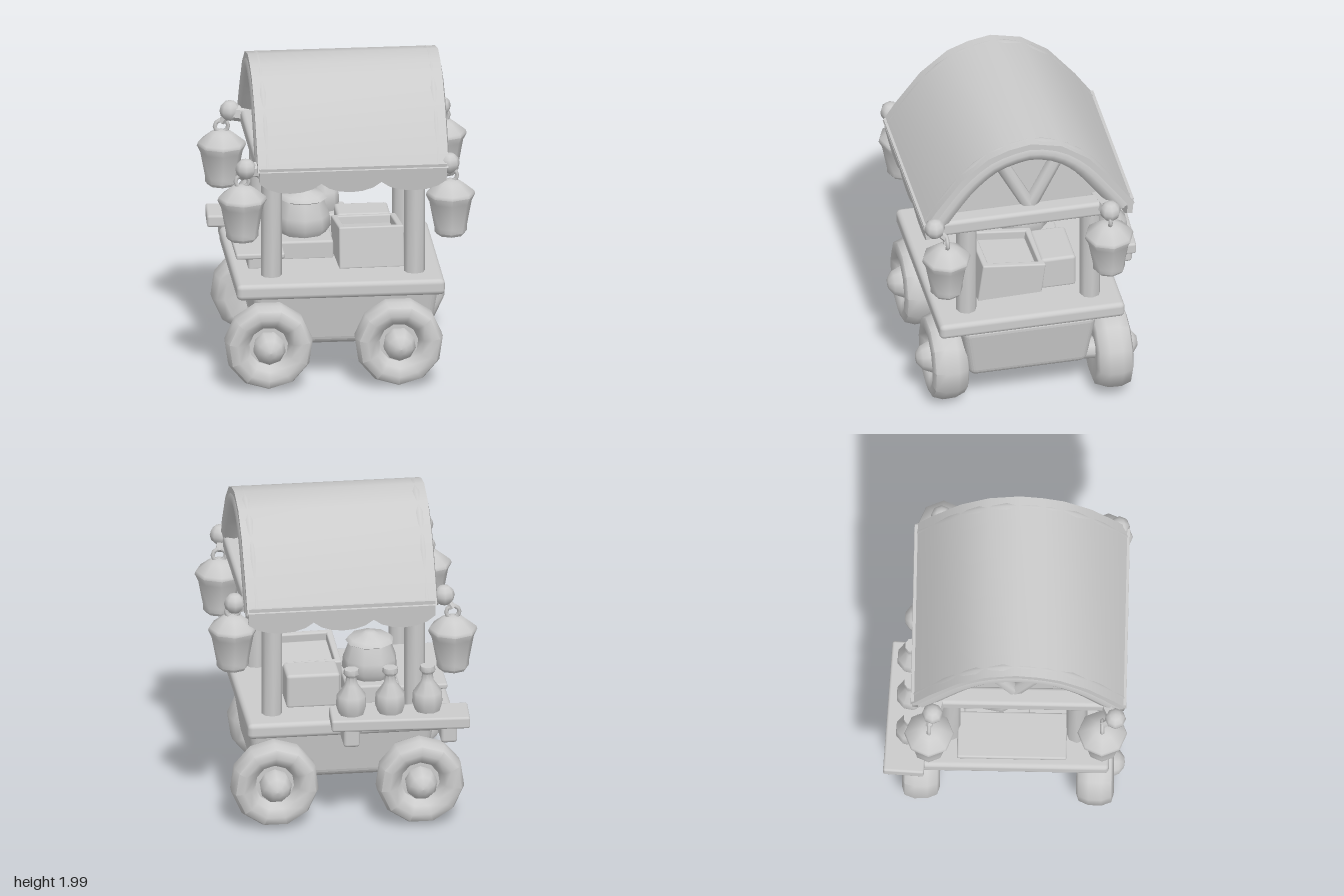
import * as THREE from 'three';
import { toCreasedNormals } from 'three/addons/utils/BufferGeometryUtils.js';
import { RoundedBoxGeometry } from 'three/addons/geometries/RoundedBoxGeometry.js';

const mat = new THREE.MeshStandardMaterial({ color: 0xcccccc, side: THREE.DoubleSide });
const V = (x, y, z) => new THREE.Vector3(x, y, z);

export function createModel() {
  const root = new THREE.Group();
  root.name = 'marketCart';

  const add = (name, geo, x = 0, y = 0, z = 0, parent = root) => {
    const m = new THREE.Mesh(geo, mat);
    m.name = name;
    m.position.set(x, y, z);
    parent.add(m);
    return m;
  };
  const crease = geo => toCreasedNormals(geo, 0.95);
  // Softened box given by its minimum and maximum corners
  const box = (name, a, b, r = 0.02, parent = root) => add(name,
    new RoundedBoxGeometry(b[0] - a[0], b[1] - a[1], b[2] - a[2], 2, r),
    (a[0] + b[0]) / 2, (a[1] + b[1]) / 2, (a[2] + b[2]) / 2, parent);
  const lathe = (pts, n) => crease(new THREE.LatheGeometry(pts.map(p => new THREE.Vector2(...p)), n));
  // Round bar between two points
  const bar = (name, a, b, r, n = 8, parent = root) => {
    const d = b.clone().sub(a);
    const m = add(name, crease(new THREE.CylinderGeometry(r, r, d.length(), n)), 0, 0, 0, parent);
    m.position.copy(a).add(b).multiplyScalar(0.5);
    m.quaternion.setFromUnitVectors(V(0, 1, 0), d.normalize());
    return m;
  };

  // Deck and tapered wagon body
  box('deck', [-0.68, 0.59, -0.53], [0.6, 0.69, 0.63], 0.03);
  const body = new RoundedBoxGeometry(1.16, 0.38, 0.85, 3, 0.05);
  const bp = body.attributes.position;
  for (let i = 0; i < bp.count; i++) {
    const t = 0.5 - bp.getY(i) / 0.38;
    bp.setX(i, bp.getX(i) * (1 - 0.1 * t));
    bp.setZ(i, bp.getZ(i) * (1 - 0.14 * t));
  }
  body.computeVertexNormals();
  add('wagonBody', body, 0, 0.42, 0.06);

  // Wheels: fat tyre, sunken disc and rounded hub
  const tyre = lathe([[0, -0.09], [0.1, -0.09], [0.2, -0.115], [0.245, -0.1], [0.27, -0.04], [0.272, 0.04],
    [0.25, 0.1], [0.2, 0.115], [0.15, 0.09], [0.12, 0.03], [0, 0.03]], 11);
  const hub = new THREE.LatheGeometry([[0.095, 0.02], [0.1, 0.09], [0.075, 0.145], [0.035, 0.175], [0, 0.18]]
    .map(p => new THREE.Vector2(...p)), 9);
  for (const [x, z, s] of [[-0.48, 0.545, 1], [0.32, 0.545, 1], [-0.46, -0.52, -1], [0.43, -0.46, -1]]) {
    const w = new THREE.Group();
    w.name = 'wheel';
    w.position.set(x, 0.278, z);
    w.rotation.x = s * Math.PI / 2;
    root.add(w);
    add('tyre', tyre, 0, 0, 0, w);
    add('hub', hub, 0, 0, 0, w);
  }
  bar('rightAxle', V(-0.47, 0.26, 0.5), V(-0.46, 0.26, -0.5), 0.07);
  bar('leftAxle', V(0.33, 0.26, 0.5), V(0.42, 0.26, -0.45), 0.07);

  // Corner posts
  for (const x of [-0.45, 0.43])
    for (const z of [-0.345, 0.43])
      bar('post', V(x, 0.66, z), V(x, 1.46, z), 0.064, 8);

  // Curved roof sheet with a flat ceiling
  const arc = [[0.735, 1.45], [0.66, 1.57], [0.5, 1.78], [0.33, 1.92], [0.2, 1.97], [0.06, 1.995],
    [-0.13, 1.95], [-0.3, 1.83], [-0.47, 1.62], [-0.585, 1.45]];
  const inset = d => arc.map(([z, y]) => {
    const dz = z - 0.07, dy = y - 1.3, l = Math.hypot(dz, dy);
    return [z - dz / l * d, y - dy / l * d];
  });
  // Extrudes a (z, y) outline along x, centred on x
  const extrudeX = (pts, depth, x) => {
    const g = new THREE.ExtrudeGeometry(new THREE.Shape(pts.map(p => new THREE.Vector2(...p))),
      { depth, bevelEnabled: false });
    return crease(g.translate(0, 0, -depth / 2).rotateY(-Math.PI / 2).translate(x, 0, 0));
  };
  add('roof', extrudeX([...arc, ...inset(0.06).reverse()], 1.17, 0.025));
  box('ceiling', [-0.5, 1.41, -0.54], [0.55, 1.44, 0.68], 0.01);

  // Gables: rounded rim, recessed panel, struts and tie beam
  for (const [x, s] of [[-0.5, -1], [0.55, 1]]) {
    const rim = new THREE.CatmullRomCurve3(inset(0.072).map(([z, y]) => V(x, y, z)));
    add('gableRim', new THREE.TubeGeometry(rim, 20, 0.072, 8));
    add('gablePanel', extrudeX(inset(0.05), 0.03, x - s * 0.08));
    box('tieBeam', [x - 0.06, 1.38, -0.5], [x + 0.06, 1.48, 0.66], 0.025);
    for (const [z, y] of [[0.24, 1.82], [-0.13, 1.82]])
      bar('gableStrut', V(x - s * 0.05, 1.46, 0.05), V(x - s * 0.05, y, z), 0.045, 7);
  }

  // Scalloped valances along both eaves, leaning slightly inwards
  const scallops = new THREE.Shape();
  scallops.moveTo(0.6, 0.03);
  scallops.lineTo(-0.55, 0.03);
  scallops.lineTo(-0.55, -0.07);
  let start = -0.55;
  for (const end of [-0.17, 0.2, 0.6]) {
    scallops.bezierCurveTo(start + 0.08, -0.165, end - 0.08, -0.165, end, -0.08);
    start = end;
  }
  scallops.closePath();
  const valance = crease(new THREE.ExtrudeGeometry(scallops, { depth: 0.035, bevelEnabled: false, curveSegments: 6 }));
  add('frontValance', valance, 0, 1.45, 0.695).rotation.x = 0.15;
  add('backValance', valance, 0, 1.45, -0.58).rotation.x = -0.08;

  // Hanging lanterns with hooks and bracket knobs
  const lanternGeo = lathe([[0, -0.33], [0.085, -0.33], [0.1, -0.31], [0.1, -0.28], [0.13, -0.12],
    [0.152, -0.075], [0.145, -0.055], [0.075, 0], [0.045, 0.015], [0, 0.02]], 8);
  const ring = new THREE.TorusGeometry(0.04, 0.014, 5, 10);
  const knob = new THREE.SphereGeometry(0.065, 8, 6);
  for (const [x, y, z, kx, kz] of [[-0.645, 1.31, 0.59, -0.63, 0.67], [0.635, 1.31, 0.6, 0.62, 0.67],
    [-0.67, 1.31, -0.47, -0.62, -0.45], [0.68, 1.36, -0.41, 0.67, -0.42]]) {
    const l = new THREE.Group();
    l.name = 'lantern';
    root.add(l);
    add('lanternBody', lanternGeo, x, y, z, l);
    add('lanternRing', ring, x, y + 0.045, z, l);
    bar('hook', V(x, y + 0.07, z), V(kx, 1.46, kz), 0.022, 6, l);
    add('bracketKnob', knob, kx, 1.46, kz, l);
    bar('bracketArm', V(kx, 1.45, kz), V(Math.sign(x) * 0.48, 1.44, kz * 0.9), 0.05, 6, l);
  }

  // Back shelf with brackets and bottles
  box('backShelf', [-0.75, 0.69, -0.73], [0.1, 0.765, -0.48], 0.015).rotation.y = -0.05;
  for (const x of [-0.62, -0.02]) box('shelfBracket', [x - 0.05, 0.58, -0.7], [x + 0.05, 0.71, -0.5], 0.02);
  const bottle = lathe([[0, 0], [0.075, 0], [0.095, 0.06], [0.09, 0.13], [0.04, 0.2], [0.032, 0.25],
    [0.05, 0.27], [0.045, 0.3], [0, 0.3]], 9);
  for (const x of [-0.5, -0.27, -0.03]) add('bottle', bottle, x, 0.755, -0.585);

  // Side counter on the right, with its support
  box('counter', [-0.66, 0.77, -0.3], [-0.36, 0.805, 0.37], 0.012);
  box('counterSupport', [-0.58, 0.68, -0.22], [-0.42, 0.78, 0.3], 0.015);

  // Pot on a low stand
  box('potStand', [-0.38, 0.68, -0.26], [-0.04, 0.8, 0.14], 0.015);
  add('lidPot', lathe([[0, 0], [0.13, 0], [0.172, 0.06], [0.165, 0.13], [0.13, 0.225], [0.15, 0.235],
    [0.13, 0.26], [0.06, 0.275], [0.03, 0.295], [0, 0.295]], 9), -0.21, 0.785, -0.06);

  // Open crate leaning back against a second box
  const crate = new THREE.Group();
  crate.name = 'crate';
  crate.position.set(0.17, 0.68, 0.15);
  crate.rotation.set(-0.13, 0.03, 0);
  root.add(crate);
  box('crateFill', [-0.17, 0, -0.17], [0.17, 0.19, 0.17], 0.02, crate);
  for (const s of [-1, 1]) {
    box('crateSide', [s * 0.18 - 0.02, -0.02, -0.2], [s * 0.18 + 0.02, 0.24, 0.2], 0.01, crate);
    box('crateEnd', [-0.2, -0.02, s * 0.18 - 0.02], [0.2, 0.24, s * 0.18 + 0.02], 0.01, crate);
  }
  box('rearBox', [0, 0.68, -0.28], [0.33, 0.9, -0.06], 0.02);

  return root;
}
